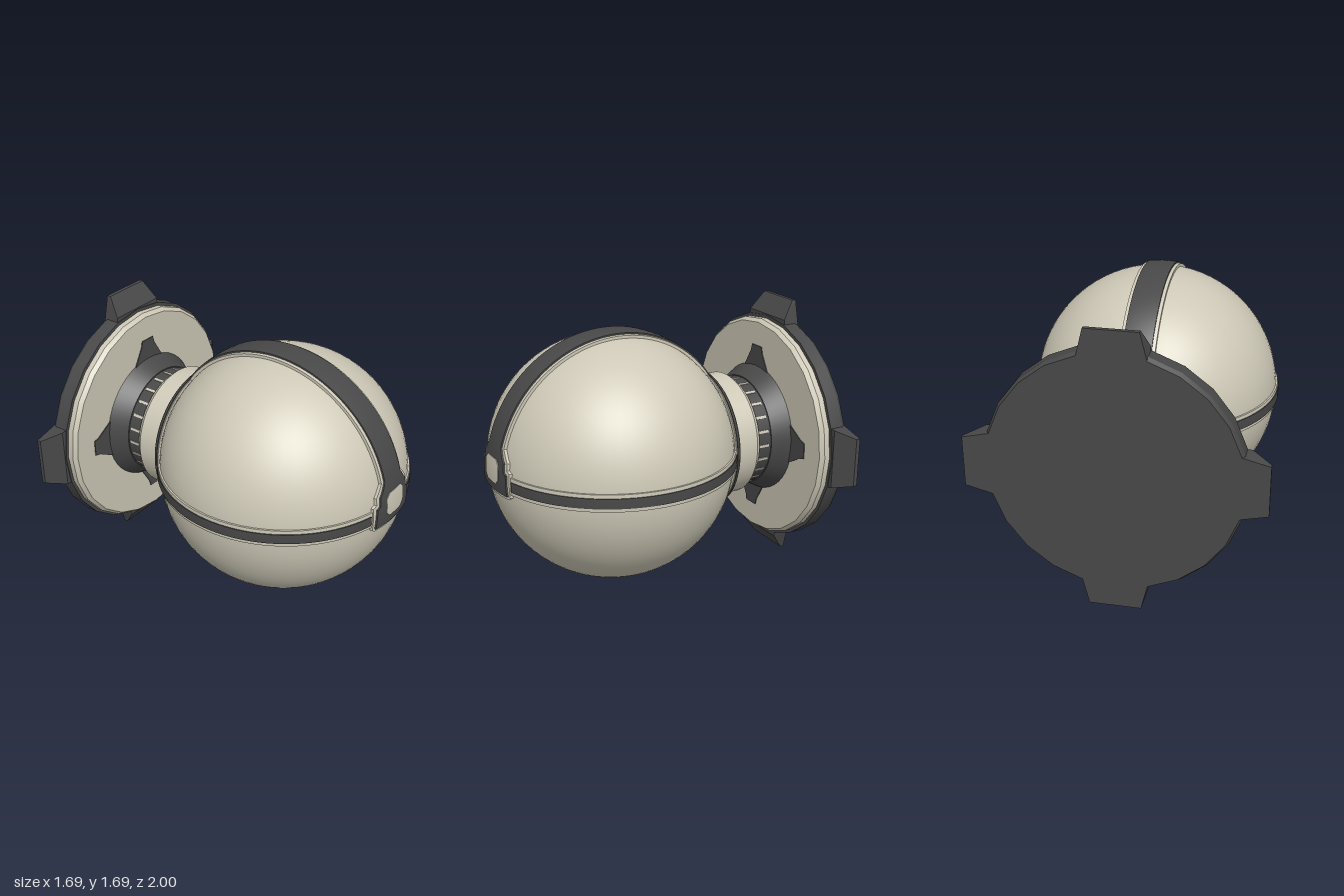
import * as THREE from 'three';
import { toCreasedNormals } from 'three/addons/utils/BufferGeometryUtils.js';
import { ConvexGeometry } from 'three/addons/geometries/ConvexGeometry.js';

const CY = 0.845, CZ = 0.22; // centre of the ball
const BACK = 2.54;           // angle at which bands meet the rear collar

export function createModel() {
  const root = new THREE.Group();
  root.name = 'ballOnWallMount';
  const light = new THREE.MeshStandardMaterial({ color: 0xcdc8b6 });
  light.name = 'warm ivory';
  const dark = new THREE.MeshStandardMaterial({ color: 0x484848 });
  dark.name = 'charcoal';

  const add = (parent, name, geometry, material) => {
    const mesh = new THREE.Mesh(geometry, material);
    mesh.name = name;
    parent.add(mesh);
    return mesh;
  };

  // Turned part about the z axis; profile is [radius, z] with z rising
  const turned = (profile, segments) => {
    const g = new THREE.LatheGeometry(profile.map(([r, z]) => new THREE.Vector2(r, z)), segments);
    g.rotateX(Math.PI / 2);
    return toCreasedNormals(g, 0.45);
  };

  // Raised strip hugging the ball: rows are [angle above the front, half width]
  const strip = (rows, R, Rin = 0.74, cols = 8) => {
    const full = [];
    rows.forEach(([a, w], i) => {
      full.push([a, w, R]);
      if (i === rows.length - 1) return;
      const [a2, w2] = rows[i + 1];
      const n = Math.max(1, Math.ceil((a2 - a) / 0.05));
      for (let k = 1; k < n; k++) full.push([a + (a2 - a) * k / n, w + (w2 - w) * k / n, R]);
    });
    full.unshift([full[0][0], full[0][1], Rin]);
    const last = full[full.length - 1];
    full.push([last[0], last[1], Rin]);
    const pos = [], idx = [], N = cols + 3;
    for (const [a, w, r] of full) {
      for (let j = 0; j < N; j++) {
        const edge = j === 0 || j === N - 1;
        const x = w * (Math.min(Math.max(j - 1, 0), cols) / cols * 2 - 1);
        const rad = edge ? Rin : r;
        const d = Math.sqrt(rad * rad - x * x);
        pos.push(x, d * Math.sin(a), d * Math.cos(a));
      }
    }
    for (let i = 0; i < full.length - 1; i++) {
      for (let j = 0; j < N - 1; j++) {
        const p = i * N + j, q = p + N;
        idx.push(p, p + 1, q + 1, p, q + 1, q);
      }
    }
    const g = new THREE.BufferGeometry();
    g.setAttribute('position', new THREE.Float32BufferAttribute(pos, 3));
    g.setIndex(idx);
    return toCreasedNormals(g, 0.5);
  };

  // Ball with its bands
  const ball = new THREE.Group();
  ball.name = 'ball';
  ball.position.set(0, CY, CZ);
  root.add(ball);
  add(ball, 'shell', new THREE.SphereGeometry(0.75, 64, 48), light);

  // Top band widening into the front buckle
  add(ball, 'topBandTrim', strip([[-0.117, 0.165], [-0.1, 0.187], [0.1, 0.187], [0.118, 0.162],
    [0.175, 0.16], [0.265, 0.105], [BACK, 0.105]], 0.767), light);
  add(ball, 'topBand', strip([[-0.089, 0.17], [0.08, 0.165], [0.095, 0.14],
    [0.165, 0.138], [0.19, 0.12], [0.265, 0.085], [BACK, 0.085]], 0.776), dark);
  add(ball, 'buckleWindow', strip([[-0.026, 0.06], [0.012, 0.09], [0.127, 0.09], [0.165, 0.06]],
    0.78, 0.77), light);

  // Side bands round the middle
  for (const side of [1, -1]) {
    const band = new THREE.Group();
    band.name = side > 0 ? 'leftBand' : 'rightBand';
    band.rotation.z = -side * Math.PI / 2;
    ball.add(band);
    add(band, 'sideBandTrim', strip([[0.235, 0.052], [BACK, 0.052]], 0.76), light);
    add(band, 'sideBand', strip([[0.265, 0.03], [BACK, 0.03]], 0.766), dark);
  }

  // Everything turned about the mounting axis
  const mount = new THREE.Group();
  mount.name = 'mount';
  mount.position.y = CY;
  root.add(mount);
  add(mount, 'collarTrim', turned([[0.37, -0.44], [0.425, -0.44], [0.448, -0.395], [0.40, -0.395]], 64), light);
  add(mount, 'collarBand', turned([[0.38, -0.43], [0.437, -0.43], [0.45, -0.405], [0.40, -0.405]], 64), dark);
  add(mount, 'neck', turned([[0.3, -0.62], [0.365, -0.62], [0.388, -0.59], [0.388, -0.41]], 48), light);
  add(mount, 'ribbedRing', turned([[0.343, -0.73], [0.343, -0.61]], 48), dark);
  add(mount, 'flaredCone', turned([[0.415, -0.835], [0.35, -0.72], [0.3, -0.72]], 48), dark);
  add(mount, 'lightDisc', turned([[0.71, -0.9], [0.71, -0.855], [0.69, -0.83], [0, -0.83]], 24), light);
  add(mount, 'basePlate', turned([[0, -1], [0.715, -1], [0.73, -0.975], [0.73, -0.89], [0, -0.89]], 24), dark);

  // Pale ribs around the dark ring
  const rib = new THREE.BoxGeometry(0.016, 0.01, 0.075);
  for (let i = 0; i < 24; i++) {
    const a = i * Math.PI / 12;
    const m = add(mount, 'rib', rib, light);
    m.position.set(Math.sin(a) * 0.342, Math.cos(a) * 0.342, -0.667);
    m.rotation.z = -a;
  }

  // Four wedge tabs on the base, and small tongues on the disc
  const tabPoints = [];
  for (const s of [-1, 1]) {
    for (const [w, r, z] of [[0.19, 0.68, -1], [0.15, 0.845, -1], [0.15, 0.845, -0.975],
      [0.185, 0.735, -0.895], [0.19, 0.68, -0.895]]) {
      tabPoints.push(new THREE.Vector3(s * w, r, z));
    }
  }
  const tab = new ConvexGeometry(tabPoints);
  const tongueShape = new THREE.Shape([[-0.13, 0.38], [0.13, 0.38], [0.06, 0.5], [0.05, 0.54],
    [-0.05, 0.54], [-0.06, 0.5]].map(([x, y]) => new THREE.Vector2(x, y)));
  const tongue = new THREE.ExtrudeGeometry(tongueShape, { depth: 0.008, bevelEnabled: false });
  for (let i = 0; i < 4; i++) {
    const a = i * Math.PI / 2;
    add(mount, 'baseTab', tab, dark).rotation.z = a;
    const t = add(mount, 'discTongue', tongue, dark);
    t.rotation.z = a;
    t.position.z = -0.832;
  }
  return root;
}
